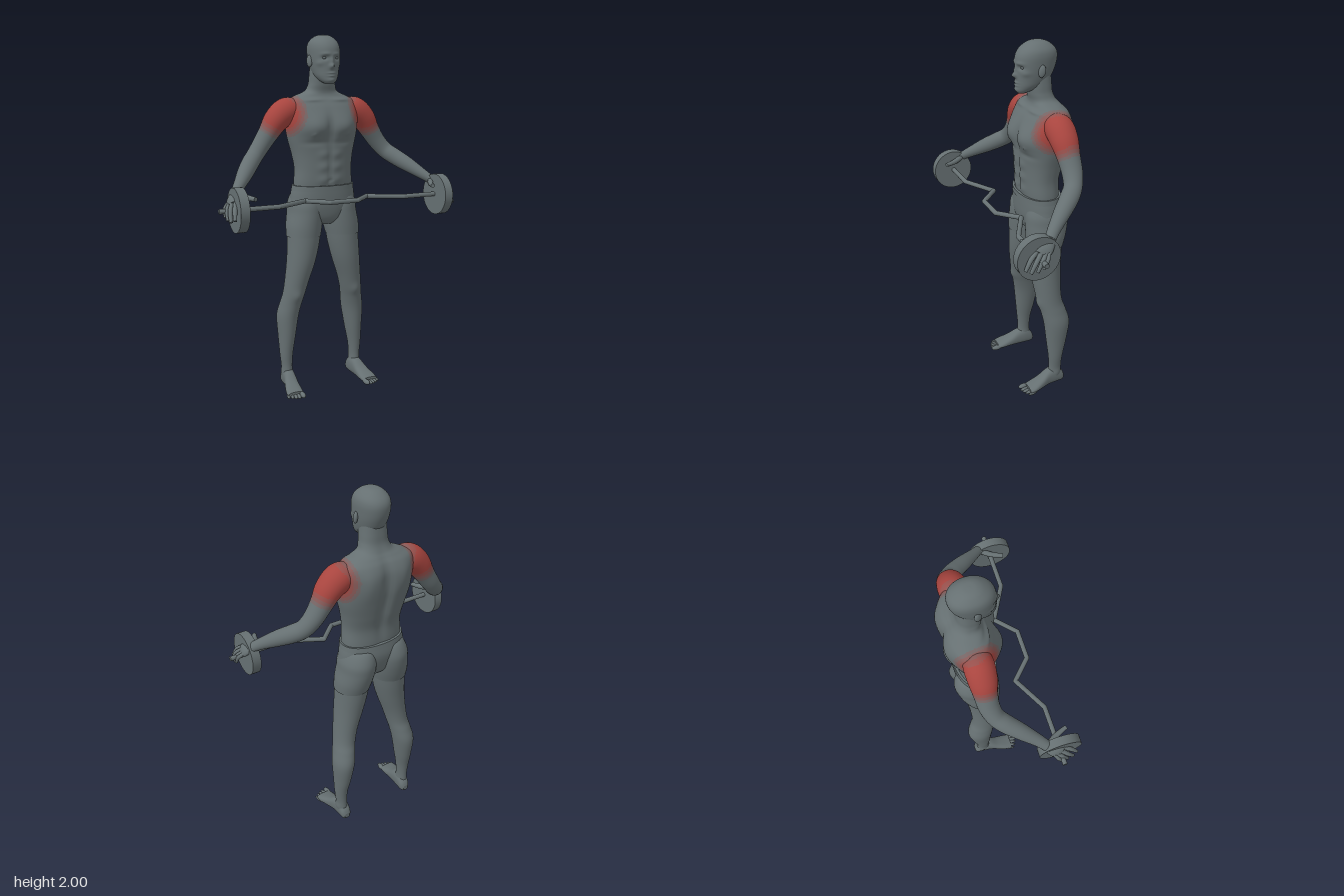
import * as THREE from 'three';

const mat = (name, color) => {
  const m = new THREE.MeshStandardMaterial({ color });
  m.name = name;
  return m;
};

// Smooth value through a list of number rows, t from 0 to 1
function sample(rows, t) {
  const n = rows.length - 1, f = t * n, i = Math.min(Math.floor(f), n - 1), k = f - i;
  const row = (j) => rows[Math.max(0, Math.min(n, j))];
  return rows[0].map((_, c) => {
    const a = row(i - 1)[c], b = row(i)[c], d = row(i + 1)[c], e = row(i + 2)[c];
    return b + 0.5 * k * (d - a + k * (2 * a - 5 * b + 4 * d - e + k * (3 * (b - d) + e - a)));
  });
}

// Skin over cross-sections [x, y, z, radiusU, radiusV]; rings lie flat, or follow the path when bend is set
function loft(sections, { around = 24, rows = 30, power = 2, bend = false } = {}) {
  const pos = [], idx = [];
  const ring = (t, scale) => {
    const [x, y, z, ru, rv] = sample(sections, t);
    const c = new THREE.Vector3(x, y, z), u = new THREE.Vector3(1, 0, 0), v = new THREE.Vector3(0, 0, 1);
    if (bend) {
      const a = sample(sections, Math.max(0, t - 0.02)), b = sample(sections, Math.min(1, t + 0.02));
      const dir = new THREE.Vector3(b[0] - a[0], b[1] - a[1], b[2] - a[2]).normalize();
      v.addScaledVector(dir, -dir.z).normalize();
      u.crossVectors(dir, v);
    }
    for (let j = 0; j < around; j++) {
      const th = (j / around) * Math.PI * 2, cs = Math.cos(th), sn = Math.sin(th);
      const p = c.clone()
        .addScaledVector(u, Math.sign(cs) * Math.abs(cs) ** (2 / power) * ru * scale)
        .addScaledVector(v, Math.sign(sn) * Math.abs(sn) ** (2 / power) * rv * scale);
      pos.push(p.x, p.y, p.z);
    }
  };
  ring(0, 0); ring(0, 1);
  for (let i = 0; i <= rows; i++) ring(i / rows, 1);
  ring(1, 1); ring(1, 0);
  for (let i = 0; i < rows + 4; i++) {
    if (i === 1 || i === rows + 2) continue;
    for (let j = 0; j < around; j++) {
      const a = i * around + j, b = i * around + ((j + 1) % around);
      idx.push(a, a + around, b, b, a + around, b + around);
    }
  }
  const g = new THREE.BufferGeometry();
  g.setAttribute('position', new THREE.Float32BufferAttribute(pos, 3));
  g.setIndex(idx);
  g.computeVertexNormals();
  return g;
}

// Flat ring given by front and back z
const flat = ([x, y, front, back, rx]) => [x, y, (front + back) / 2, rx, (front - back) / 2];

// Push the surface by soft bumps: [x, y, z, sizeX, sizeY, sizeZ, moveX, moveZ], mirrored in x
function sculpt(g, bumps) {
  const p = g.attributes.position;
  for (let i = 0; i < p.count; i++) {
    const x = p.getX(i), y = p.getY(i), z = p.getZ(i);
    let dx = 0, dz = 0;
    for (const [bx, by, bz, sx, sy, sz, mx, mz] of bumps) {
      const w = Math.exp(-(((Math.abs(x) - bx) / sx) ** 2) - ((y - by) / sy) ** 2 - ((z - bz) / sz) ** 2);
      dx += w * mx * Math.sign(x);
      dz += w * mz;
    }
    p.setX(i, x + dx);
    p.setZ(i, z + dz);
  }
  g.computeVertexNormals();
  return g;
}

function mirror(g) {
  const m = g.clone().scale(-1, 1, 1), a = m.index.array;
  for (let i = 0; i < a.length; i += 3) [a[i], a[i + 1]] = [a[i + 1], a[i]];
  m.computeVertexNormals();
  return m;
}

// Sort faces into colour groups by how close they lie to the shoulder muscle
function paintShoulder(g, levels) {
  const p = g.attributes.position, bins = Array.from({ length: levels }, () => []), a = g.index.array;
  for (let i = 0; i < a.length; i += 3) {
    const f = [a[i], a[i + 1], a[i + 2]];
    const mid = (get) => f.reduce((s, k) => s + get(k) / 3, 0);
    const d = Math.hypot((Math.abs(mid((k) => p.getX(k))) - 0.25) / 0.1,
      (mid((k) => p.getY(k)) - 1.58) / 0.095, (mid((k) => p.getZ(k)) + 0.12) / 0.13);
    const r = Math.max(0, Math.min(1, (1.5 - d) * 1.6));
    bins[Math.round(r * (levels - 1))].push(...f);
  }
  g.setIndex(bins.flat());
  let start = 0;
  bins.forEach((b, k) => { if (b.length) g.addGroup(start, b.length, k); start += b.length; });
  return g;
}

export function createModel() {
  const root = new THREE.Group();
  root.name = 'athleteWithCurlBar';
  const grey = mat('grey', 0x667072);
  const tones = [grey, mat('faintRed', 0x766565), mat('softRed', 0x875a58), mat('midRed', 0x97504c), mat('muscleRed', 0xa8453f)];
  const add = (name, g, m = grey) => {
    const mesh = new THREE.Mesh(g, m);
    mesh.name = name;
    root.add(mesh);
  };
  const pair = (name, g) => { add(name + 'Left', g); add(name + 'Right', mirror(g)); };

  // Torso and neck
  const torso = loft([
    [0, 1.14, -0.025, -0.215, 0.17], [0, 1.2, -0.015, -0.215, 0.171], [0, 1.28, -0.012, -0.215, 0.167],
    [0, 1.36, -0.01, -0.235, 0.178], [0, 1.44, -0.004, -0.255, 0.197], [0, 1.5, 0.003, -0.266, 0.207],
    [0, 1.56, -0.004, -0.268, 0.213], [0, 1.61, -0.025, -0.263, 0.213], [0, 1.65, -0.05, -0.247, 0.197],
    [0, 1.677, -0.068, -0.225, 0.145], [0, 1.7, -0.072, -0.206, 0.093], [0, 1.735, -0.065, -0.19, 0.076],
    [0, 1.78, -0.06, -0.185, 0.071], [0, 1.84, -0.06, -0.18, 0.066],
  ].map(flat), { around: 96, rows: 110, power: 2.3 });
  const abs = [1.22, 1.29, 1.36].map((y) => [0.04, y, 0, 0.03, 0.024, 0.05, 0, 0.007]);
  sculpt(torso, [
    [0.09, 1.51, 0, 0.075, 0.055, 0.07, 0, 0.022], [0, 1.5, 0, 0.022, 0.08, 0.06, 0, -0.012],
    [0.09, 1.425, 0, 0.07, 0.014, 0.06, 0, -0.006], ...abs,
    [0, 1.3, 0, 0.01, 0.12, 0.06, 0, -0.006], [0, 1.215, 0, 0.008, 0.008, 0.05, 0, -0.008],
    [0, 1.45, -0.25, 0.028, 0.2, 0.06, 0, 0.025], [0.1, 1.57, -0.26, 0.05, 0.08, 0.05, 0, -0.012],
    [0.1, 1.47, 0.01, 0.018, 0.016, 0.04, 0, 0.004], [0.1, 1.47, 0.01, 0.007, 0.007, 0.04, 0, 0.005],
    [0.09, 1.655, -0.05, 0.06, 0.01, 0.04, 0, 0.008],
  ]);
  add('torso', paintShoulder(torso, tones.length), tones);

  // Head with sculpted face
  const head = loft([
    [0, 1.74, -0.003, -0.05, 0.022], [0, 1.755, 0.006, -0.09, 0.042], [0, 1.78, 0.007, -0.14, 0.06],
    [0, 1.81, 0.007, -0.178, 0.07], [0, 1.85, 0.007, -0.2, 0.078], [0, 1.89, 0.009, -0.213, 0.082],
    [0, 1.93, 0.003, -0.216, 0.083], [0, 1.96, -0.015, -0.203, 0.075], [0, 1.985, -0.046, -0.173, 0.053],
    [0, 1.997, -0.075, -0.143, 0.03], [0, 2, -0.105, -0.115, 0.004],
  ].map(flat), { around: 96, rows: 100, power: 2.15 });
  sculpt(head, [
    [0, 1.833, 0.01, 0.013, 0.013, 0.03, 0, 0.021], [0, 1.858, 0.01, 0.009, 0.02, 0.03, 0, 0.011],
    [0.033, 1.896, 0, 0.026, 0.009, 0.04, 0, 0.005], [0.034, 1.876, 0, 0.018, 0.012, 0.04, 0, -0.012],
    [0, 1.797, 0.01, 0.022, 0.005, 0.03, 0, 0.006], [0, 1.782, 0.01, 0.02, 0.006, 0.03, 0, 0.006],
    [0, 1.76, 0.01, 0.02, 0.012, 0.04, 0, 0.006], [0.058, 1.848, -0.02, 0.02, 0.015, 0.03, 0.004, 0.003],
  ]);
  add('head', head);
  pair('eye', new THREE.SphereGeometry(1, 20, 12).scale(0.013, 0.008, 0.011).translate(0.034, 1.876, -0.016));
  pair('ear', new THREE.SphereGeometry(1, 20, 14).scale(0.011, 0.032, 0.019).rotateY(-0.4).rotateX(-0.15).translate(0.084, 1.86, -0.1));

  // Arms, with the shoulder muscle painted
  const arm = loft([
    [0.13, 1.6, -0.14, 0.05, 0.06], [0.2, 1.595, -0.14, 0.074, 0.075], [0.262, 1.55, -0.14, 0.069, 0.072],
    [0.31, 1.48, -0.142, 0.056, 0.06], [0.355, 1.415, -0.14, 0.049, 0.054], [0.4, 1.36, -0.122, 0.046, 0.048],
    [0.44, 1.325, -0.083, 0.046, 0.048], [0.49, 1.283, -0.02, 0.042, 0.043], [0.545, 1.235, 0.05, 0.031, 0.033],
    [0.582, 1.203, 0.092, 0.024, 0.028],
  ], { around: 48, rows: 80, bend: true });
  for (const [side, g] of [['Left', arm], ['Right', mirror(arm)]]) add('arm' + side, paintShoulder(g, tones.length), tones);

  // Hands
  pair('palm', loft([
    [0.575, 1.21, 0.083, 0.022, 0.028], [0.592, 1.194, 0.107, 0.02, 0.036],
    [0.612, 1.174, 0.135, 0.019, 0.042], [0.625, 1.155, 0.155, 0.012, 0.036],
  ], { rows: 14, bend: true }));
  const finger = (name, a, b, c, r) => pair(name, loft(
    [[...a, r, r], [...b, r, r], [...c, r * 0.75, r * 0.75]], { around: 14, rows: 12, bend: true }));
  finger('indexFinger', [0.605, 1.17, 0.17], [0.625, 1.135, 0.215], [0.635, 1.09, 0.245], 0.012);
  finger('middleFinger', [0.615, 1.168, 0.15], [0.642, 1.13, 0.192], [0.648, 1.08, 0.222], 0.012);
  finger('ringFinger', [0.622, 1.163, 0.13], [0.65, 1.13, 0.165], [0.654, 1.083, 0.19], 0.011);
  finger('littleFinger', [0.622, 1.165, 0.115], [0.653, 1.135, 0.138], [0.658, 1.095, 0.16], 0.01);
  finger('thumb', [0.58, 1.2, 0.1], [0.545, 1.188, 0.155], [0.518, 1.185, 0.22], 0.015);

  // Legs
  const leg = loft([
    [0.218, 0.04, -0.1, -0.19, 0.03], [0.22, 0.12, -0.109, -0.185, 0.031], [0.221, 0.2, -0.104, -0.192, 0.038],
    [0.215, 0.3, -0.093, -0.214, 0.049], [0.208, 0.42, -0.08, -0.232, 0.061], [0.194, 0.5, -0.065, -0.215, 0.061],
    [0.181, 0.56, -0.05, -0.196, 0.062], [0.165, 0.64, -0.036, -0.191, 0.068], [0.141, 0.75, -0.02, -0.197, 0.081],
    [0.125, 0.85, -0.015, -0.207, 0.09], [0.115, 0.95, -0.015, -0.215, 0.096],
  ].map(flat), { around: 40, rows: 60 });
  pair('leg', sculpt(leg, [
    [0.182, 0.56, -0.05, 0.03, 0.03, 0.04, 0, 0.008], [0.19, 0.08, -0.145, 0.02, 0.02, 0.03, -0.004, 0],
    [0.25, 0.08, -0.15, 0.02, 0.02, 0.03, 0.006, 0],
  ]));

  // Feet: lofted upright, then laid down from heel to toe
  pair('foot', loft([
    [0.215, -0.205, -0.012, -0.045, 0.016], [0.215, -0.19, -0.002, -0.075, 0.03], [0.216, -0.15, 0, -0.11, 0.035],
    [0.22, -0.1, 0, -0.1, 0.036], [0.228, -0.05, 0, -0.068, 0.042], [0.235, 0, 0, -0.045, 0.048],
    [0.237, 0.035, -0.002, -0.032, 0.046],
  ].map(flat), { around: 32, rows: 30, power: 2.4 }).rotateX(Math.PI / 2));
  for (let i = 0; i < 5; i++) {
    const r = i ? 0.0105 - i * 0.0004 : 0.015;
    pair('toe' + (i + 1), new THREE.SphereGeometry(1, 16, 12).scale(r, r, 0.032)
      .rotateY(0.08 + i * 0.03).translate(0.203 + i * 0.0175 + (i ? 0.005 : 0), r, 0.05 - i * i * 0.0018));
  }

  // Fitted shorts
  pair('shortsLeg', loft([
    [0.121, 0.9, -0.011, -0.216, 0.097], [0.114, 0.96, -0.009, -0.236, 0.102], [0.104, 1.03, -0.01, -0.252, 0.1],
    [0.1, 1.09, -0.015, -0.254, 0.097], [0.09, 1.15, -0.04, -0.227, 0.08], [0.085, 1.175, -0.08, -0.18, 0.05],
  ].map(flat), { around: 40, rows: 30 }));
  add('shortsSeat', loft([
    [0, 0.965, -0.05, -0.17, 0.05], [0, 1.0, -0.022, -0.205, 0.12], [0, 1.06, -0.009, -0.225, 0.188],
    [0, 1.12, -0.006, -0.234, 0.19], [0, 1.185, -0.006, -0.226, 0.178],
  ].map(flat), { around: 64, rows: 30, power: 2.2 }));
  add('waistband', loft([[0, 1.158, -0.003, -0.233, 0.184], [0, 1.187, -0.003, -0.229, 0.18]].map(flat),
    { around: 64, rows: 2, power: 2.2 }));

  // Zigzag bar with a plate on each end
  const barY = 1.127;
  const rod = (name, [x1, z1], [x2, z2]) => {
    const len = Math.hypot(x2 - x1, z2 - z1);
    return [name, new THREE.CylinderGeometry(0.013, 0.013, len, 16).rotateZ(-Math.PI / 2)
      .rotateY(-Math.atan2(z2 - z1, x2 - x1)).translate((x1 + x2) / 2, barY, (z1 + z2) / 2)];
  };
  const bends = [[0.08, 0.16], [0.185, 0.06], [0.37, 0.16], [0.69, 0.16]];
  add(...rod('barMiddle', [-0.08, 0.16], [0.08, 0.16]));
  for (let i = 0; i < 3; i++) {
    pair(...rod('barSegment' + (i + 1), bends[i], bends[i + 1]));
    pair('barBend' + (i + 1), new THREE.SphereGeometry(0.013, 16, 10).translate(bends[i][0], barY, bends[i][1]));
  }
  const plate = new THREE.CylinderGeometry(0.114, 0.114, 0.048, 40).rotateZ(Math.PI / 2).translate(0.59, barY, 0.163);
  for (const s of [1, -1]) add(s > 0 ? 'plateLeft' : 'plateRight', plate.clone().translate(s > 0 ? 0 : -1.18, 0, 0));
  return root;
}
